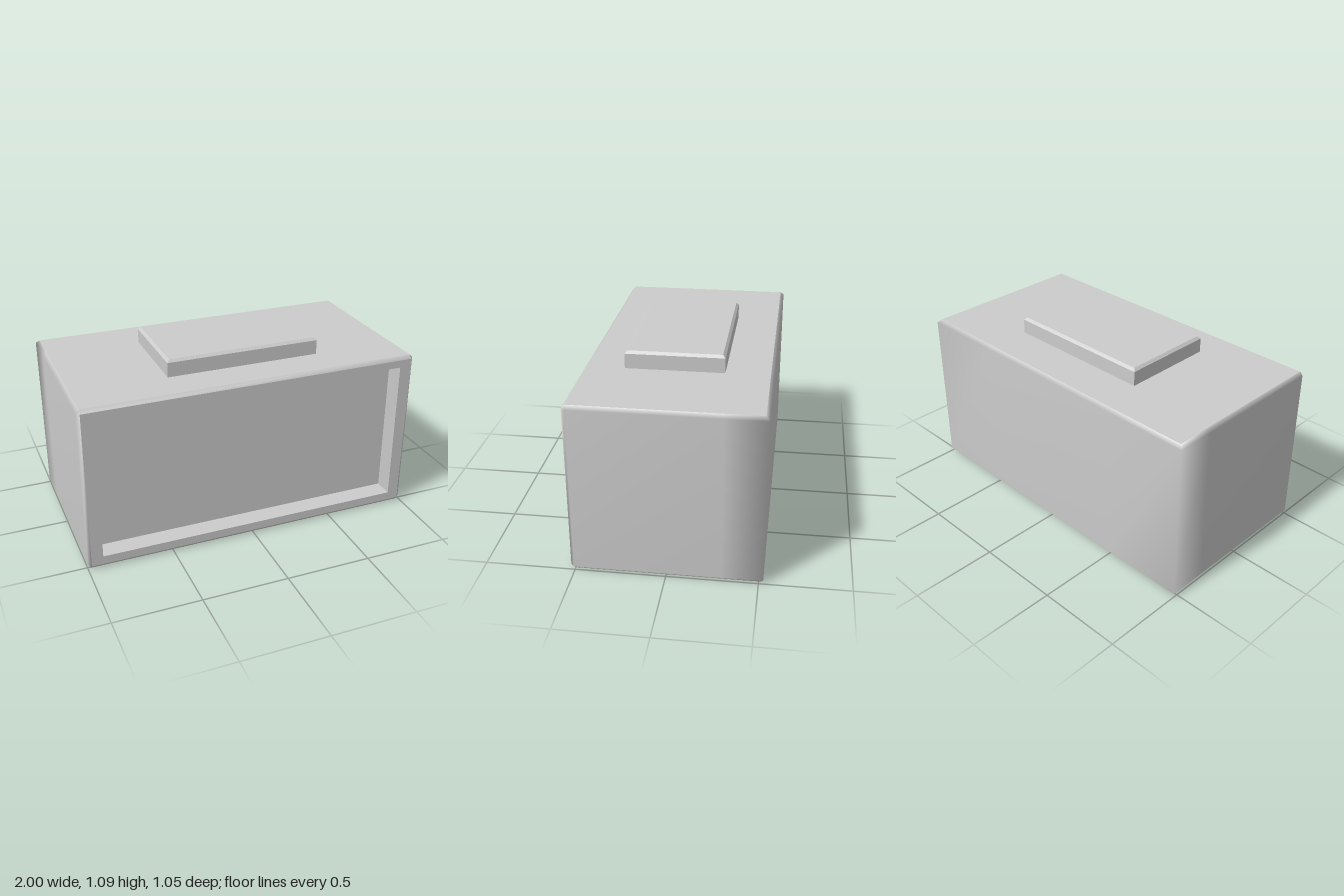
import * as THREE from 'three';

const material = new THREE.MeshStandardMaterial({ color: 0xcccccc, side: THREE.DoubleSide });

function add(group, name, geometry, x = 0, y = 0, z = 0) {
  const mesh = new THREE.Mesh(geometry, material);
  mesh.name = name;
  mesh.position.set(x, y, z);
  group.add(mesh);
  return mesh;
}

// Smooth wall: a closed plan outline [x, z] stacked through rings [y, limitX, limitZ].
// Plan points are clamped to the limits of each ring, which forms the bevels.
function wallGeometry(plan, rings, skip = () => false) {
  const n = plan.length, positions = [], index = [];
  for (const [y, lx, lz] of rings) {
    for (const [x, z] of plan) {
      positions.push(THREE.MathUtils.clamp(x, -lx, lx), y, THREE.MathUtils.clamp(z, -lz, lz));
    }
  }
  for (let r = 0; r < rings.length - 1; r++) {
    for (let i = 0; i < n; i++) {
      if (skip(r, i)) continue;
      const a = r * n + i, b = r * n + (i + 1) % n;
      index.push(a, b, b + n, a, b + n, a + n);
    }
  }
  const geometry = new THREE.BufferGeometry();
  geometry.setAttribute('position', new THREE.Float32BufferAttribute(positions, 3));
  geometry.setIndex(index);
  geometry.computeVertexNormals();
  return geometry;
}

function rectangle(target, x, y0, y1) {
  target.moveTo(-x, y0);
  target.lineTo(x, y0);
  target.lineTo(x, y1);
  target.lineTo(-x, y1);
  target.closePath();
  return target;
}

export function createModel() {
  const model = new THREE.Group();
  model.name = 'cabinet';
  const X = 1, Z = 0.525, H = 0.985, bevel = 0.02;
  const ix = X - bevel, iz = Z - bevel;

  // Body shell: softly shaded rear corners, open front
  const half = [[ix, Z], [X, iz], [X, -0.3], [X, -Z], [0.5, -Z]];
  const plan = [...half, ...half.map(([x, z]) => [-x, z]).reverse()];
  const rings = [[0, ix, iz], [bevel, X, Z], [H - bevel, X, Z], [H, ix, iz]];
  add(model, 'bodyShell', wallGeometry(plan, rings, (r, i) => r === 1 && i === plan.length - 1));

  // Top and bottom faces
  for (const [name, y, angle] of [['bodyTop', H, -1], ['bodyBottom', 0, 1]]) {
    const face = new THREE.PlaneGeometry(2 * ix, 2 * iz).rotateX(angle * Math.PI / 2);
    add(model, name, face, 0, y, 0);
  }

  // Front frame around a recessed panel
  const depth = 0.115, open = { x: 0.912, y0: 0.07, y1: 0.92 };
  const frame = rectangle(new THREE.Shape(), ix, bevel, H - bevel);
  frame.holes.push(rectangle(new THREE.Path(), open.x, open.y0, open.y1));
  add(model, 'frontFrame', new THREE.ExtrudeGeometry(frame, { depth, bevelEnabled: false }), 0, 0, Z - depth);
  add(model, 'frontPanel', new THREE.PlaneGeometry(2 * open.x, open.y1 - open.y0),
    0, (open.y0 + open.y1) / 2, Z - depth);

  // Raised block on top, with a bevelled upper rim
  const bx = 0.455, bz = 0.277, bh = 0.1, rim = 0.015;
  const block = new THREE.Group();
  block.name = 'topBlock';
  block.position.set(0.023, H, 0.019);
  const corners = [[bx, bz], [bx, -bz], [-bx, -bz], [-bx, bz]];
  const sides = wallGeometry(corners,
    [[0, bx, bz], [bh - rim, bx, bz], [bh, bx - rim, bz - rim]]).toNonIndexed();
  sides.computeVertexNormals();
  add(block, 'blockSides', sides);
  add(block, 'blockTop', new THREE.PlaneGeometry(2 * (bx - rim), 2 * (bz - rim)).rotateX(-Math.PI / 2), 0, bh, 0);
  model.add(block);

  return model;
}
